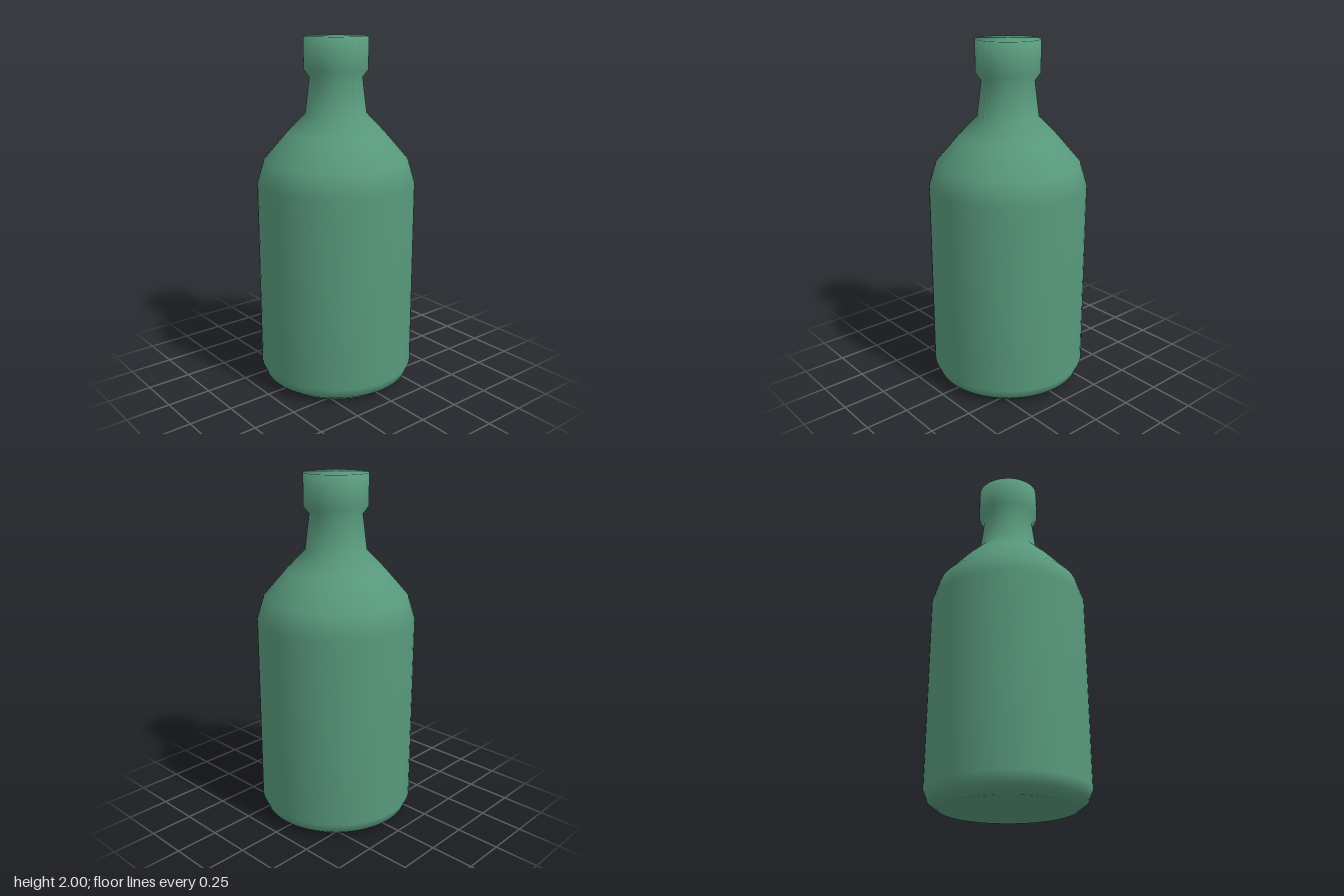
import * as THREE from 'three';

export function createModel() {
  const model = new THREE.Group();
  model.name = 'bottle';

  const greenGlass = new THREE.MeshStandardMaterial({ color: 0x58997c });
  greenGlass.name = 'green glass';

  // Closed profile from the base centre to the top centre: [radius, height]
  const profile = [
    [0, 0], [0.37, 0], [0.425, 0.04], [0.45, 0.1],      // base and rounded heel
    [0.45, 1.19], [0.41, 1.32],                         // body
    [0.28, 1.47], [0.173, 1.58],                        // shoulder
    [0.148, 1.78], [0.18, 1.82], [0.18, 2], [0, 2],     // neck, lip and closed top
  ].map(([r, y]) => new THREE.Vector2(r, y));

  // One continuous smooth surface, including the soft shading across the lip
  const geometry = new THREE.LatheGeometry(profile, 64);
  geometry.computeVertexNormals();

  const body = new THREE.Mesh(geometry, greenGlass);
  body.name = 'bottleBody';
  model.add(body);
  return model;
}
